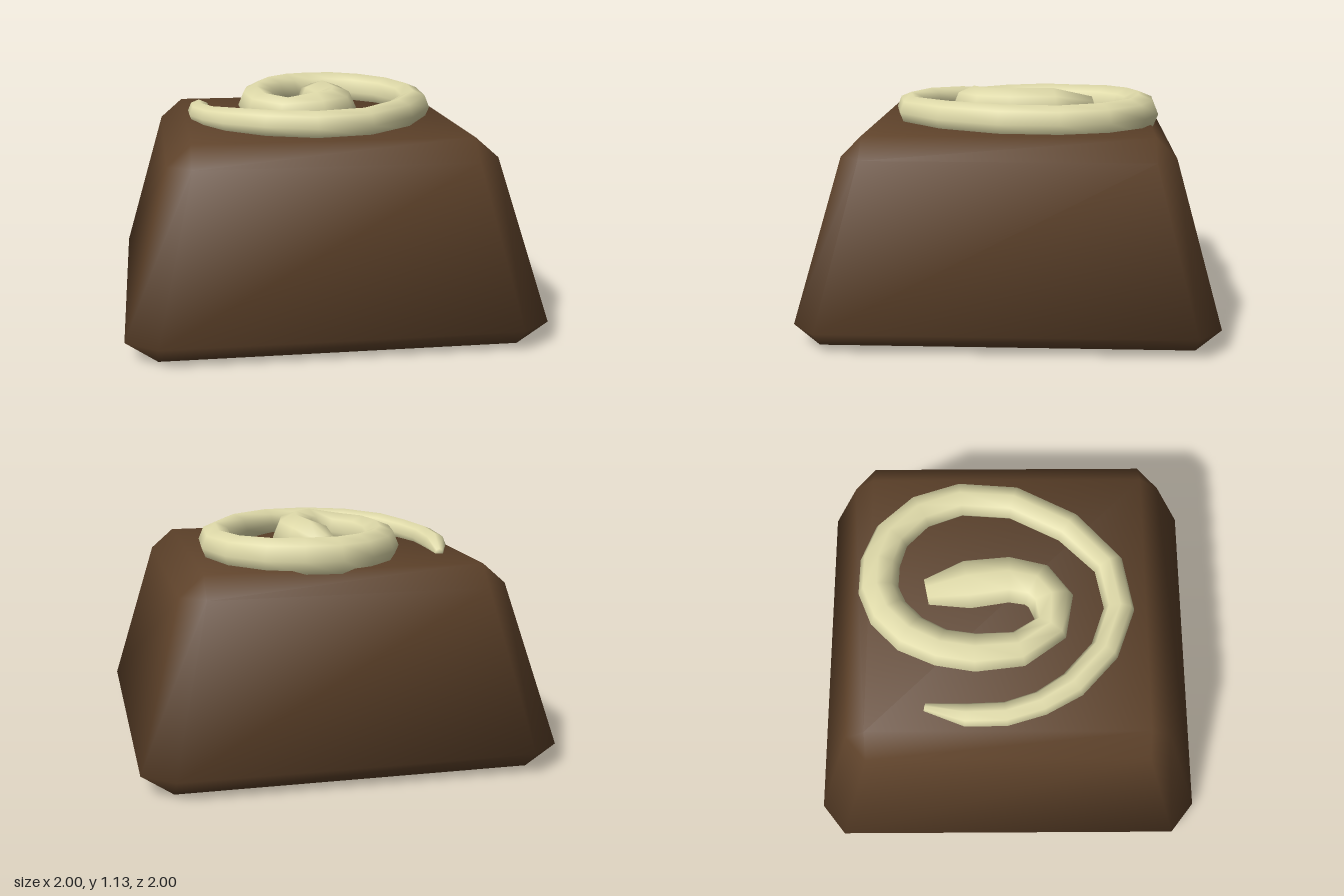
import * as THREE from 'three';

// Join equal rings of points into a closed skin, with a flat cap on both ends
function loft(rings) {
  const n = rings[0].length, pos = rings.flat(2), idx = [];
  for (let r = 0; r < rings.length - 1; r++) {
    for (let i = 0; i < n; i++) {
      const a = r * n + i, b = r * n + (i + 1) % n;
      idx.push(a, b, b + n, a, b + n, a + n);
    }
  }
  const last = (rings.length - 1) * n;
  for (let i = 1; i < n - 1; i++) idx.push(0, i + 1, i, last, last + i, last + i + 1);
  const g = new THREE.BufferGeometry();
  g.setAttribute('position', new THREE.Float32BufferAttribute(pos, 3));
  g.setIndex(idx);
  return smooth(g);
}

// Smooth normals weighted by corner angle, shared by coincident points
function smooth(g) {
  const p = g.attributes.position, idx = g.index.array, sums = new Map();
  const at = i => new THREE.Vector3().fromBufferAttribute(p, i);
  const key = i => at(i).toArray().map(v => v.toFixed(4)).join();
  for (let i = 0; i < p.count; i++) sums.set(key(i), new THREE.Vector3());
  for (let t = 0; t < idx.length; t += 3) {
    for (let k = 0; k < 3; k++) {
      const i = idx[t + k], o = at(i);
      const u = at(idx[t + (k + 1) % 3]).sub(o), v = at(idx[t + (k + 2) % 3]).sub(o);
      const normal = u.clone().cross(v);
      if (normal.length() < 1e-8) continue;
      sums.get(key(i)).addScaledVector(normal.normalize(), u.angleTo(v));
    }
  }
  const normals = [];
  for (let i = 0; i < p.count; i++) normals.push(...sums.get(key(i)).clone().normalize().toArray());
  g.setAttribute('normal', new THREE.Float32BufferAttribute(normals, 3));
  return g;
}

// Rectangle with cut corners: w, d are outer half sizes; cw, cd are where the cuts begin
function cutRect(y, w, d, cw, cd) {
  return [[cw, y, d], [w, y, cd], [w, y, -cd], [cw, y, -d],
    [-cw, y, -d], [-w, y, -cd], [-w, y, cd], [-cw, y, d]];
}

export function createModel() {
  const group = new THREE.Group();

  // Tapered block with bevelled edges
  const block = new THREE.Mesh(
    loft([
      cutRect(0, 0.85, 0.88, 0.85, 0.88),
      cutRect(0.1, 1, 1, 0.85, 0.88),
      cutRect(0.87, 0.785, 0.79, 0.67, 0.69),
      cutRect(0.97, 0.67, 0.69, 0.67, 0.69),
    ]),
    new THREE.MeshStandardMaterial({ color: 0x5e422a }));
  block.name = 'chocolateBlock';
  group.add(block);

  // Icing swirl: x, z, radius from the thin outer tail to the thick inner end
  const path = [
    [-0.55, -0.4, 0.02], [-0.592, -0.2, 0.058], [-0.59, -0.01, 0.06], [-0.54, 0.16, 0.062],
    [-0.45, 0.315, 0.07], [-0.28, 0.472, 0.072], [-0.065, 0.55, 0.075], [0.17, 0.505, 0.078],
    [0.375, 0.31, 0.085], [0.515, 0.035, 0.086], [0.535, -0.235, 0.086], [0.465, -0.44, 0.09],
    [0.33, -0.58, 0.095], [0.185, -0.633, 0.1], [0.04, -0.637, 0.1], [-0.08, -0.585, 0.102],
    [-0.19, -0.475, 0.102], [-0.26, -0.325, 0.096], [-0.287, -0.155, 0.098], [-0.27, 0.055, 0.092],
    [-0.165, 0.21, 0.09], [-0.02, 0.215, 0.115], [0.065, 0.145, 0.12], [0.095, 0.01, 0.122],
    [0.07, -0.2, 0.128], [0.03, -0.4, 0.068],
  ];
  const rings = path.map(([x, z, r], i) => {
    const a = path[Math.max(i - 1, 0)], b = path[Math.min(i + 1, path.length - 1)];
    const tx = b[0] - a[0], tz = b[1] - a[1], len = Math.hypot(tx, tz);
    const y = Math.min(1.015, 0.975 + i * 0.008);
    return Array.from({ length: 8 }, (_, k) => {
      const t = k / 8 * Math.PI * 2, side = Math.cos(t) * r;
      return [x - tz / len * side, y + Math.sin(t) * Math.min(r, 0.115), z + tx / len * side];
    }).reverse();
  });
  const swirl = new THREE.Mesh(loft(rings),
    new THREE.MeshStandardMaterial({ color: 0xe0dbaa }));
  swirl.name = 'icingSwirl';
  group.add(swirl);

  return group;
}
